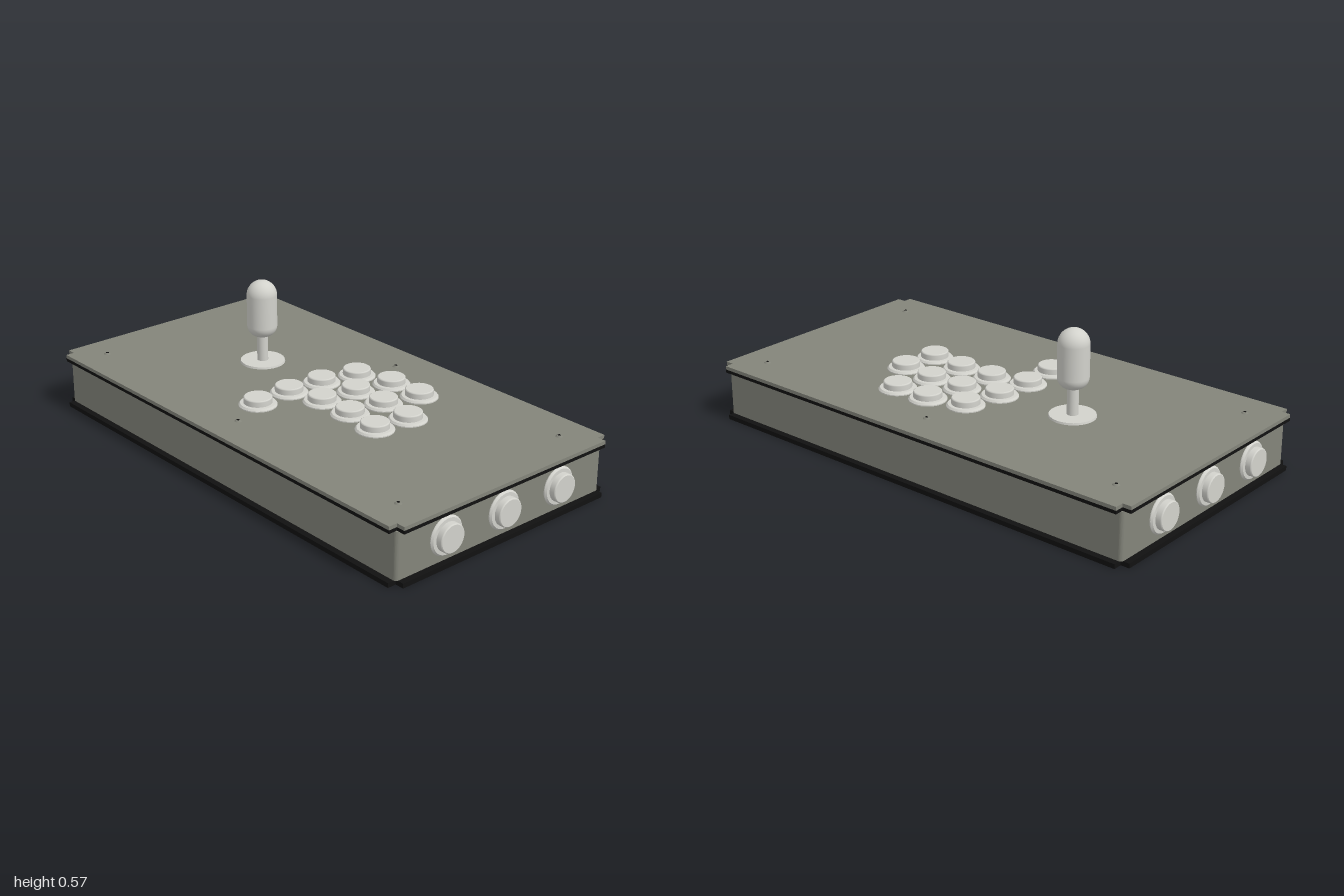
import * as THREE from 'three';

const panelGrey = new THREE.MeshStandardMaterial({ name: 'panelGrey', color: 0x83847a });
const buttonWhite = new THREE.MeshStandardMaterial({ name: 'buttonWhite', color: 0xd2d2cc });
const trimBlack = new THREE.MeshStandardMaterial({ name: 'trimBlack', color: 0x111111 });

const TOP = 0.227;

function mesh(name, geometry, material, x = 0, y = 0, z = 0) {
  const m = new THREE.Mesh(geometry, material);
  m.name = name;
  m.position.set(x, y, z);
  return m;
}

// Extrude a plan outline upwards from y0 to y1
function slab(name, shape, y0, y1, material) {
  const g = new THREE.ExtrudeGeometry(shape, { depth: y1 - y0, bevelEnabled: false, curveSegments: 5 });
  g.rotateX(-Math.PI / 2);
  return mesh(name, g, material, 0, y0, 0);
}

// Plate outline: rectangle with a small square notch at each corner
function plateShape() {
  const x = 0.99, z = 0.53, n = 0.035;
  return new THREE.Shape([
    [x - n, -z], [x - n, -z + n], [x, -z + n], [x, z - n], [x - n, z - n], [x - n, z],
    [n - x, z], [n - x, z - n], [-x, z - n], [-x, n - z], [n - x, n - z], [n - x, -z],
  ].map(([a, b]) => new THREE.Vector2(a, b)));
}

// Body outline: rectangle with tightly rounded corners
function bodyShape() {
  const x = 0.965, z = 0.505, r = 0.015;
  const s = new THREE.Shape();
  s.absarc(x - r, z - r, r, 0, Math.PI / 2);
  s.absarc(r - x, z - r, r, Math.PI / 2, Math.PI);
  s.absarc(r - x, r - z, r, Math.PI, Math.PI * 1.5);
  s.absarc(x - r, r - z, r, Math.PI * 1.5, Math.PI * 2);
  return s;
}

function lathe(points, segments = 32) {
  return new THREE.LatheGeometry(points.map(([r, y]) => new THREE.Vector2(r, y)), segments);
}

// Push button pointing along +y: thin bezel with a raised cap
const bezelGeometry = lathe([[0.074, 0], [0.074, 0.004], [0.074, 0.004], [0.068, 0.011], [0.068, 0.011], [0.05, 0.012]]);
const capGeometry = lathe([[0.055, 0.008], [0.055, 0.031], [0.054, 0.034], [0.051, 0.036], [0.051, 0.036], [0, 0.036]]);
function button(name) {
  const g = new THREE.Group();
  g.name = name;
  g.add(mesh('bezel', bezelGeometry, buttonWhite), mesh('cap', capGeometry, buttonWhite));
  return g;
}

// Joystick: dust washer, shaft and rounded bat handle
function joystick() {
  const g = new THREE.Group();
  g.name = 'joystick';
  g.add(mesh('dustWasher', new THREE.CylinderGeometry(0.088, 0.09, 0.008, 36), buttonWhite, 0, 0.004, 0));
  g.add(mesh('shaft', new THREE.CylinderGeometry(0.022, 0.022, 0.13, 24), buttonWhite, 0, 0.065, 0));
  const profile = [[0, 0], [0.022, 0]];
  const base = 0.11, rb = 0.045, rt = 0.06, height = 0.232;
  for (let i = 0; i <= 8; i++) {
    const a = (i / 8) * Math.PI / 2;
    profile.push([rt - rb + rb * Math.sin(a), rb - rb * Math.cos(a)]);
  }
  for (let i = 0; i <= 12; i++) {
    const a = (i / 12) * Math.PI / 2;
    profile.push([i === 12 ? 0 : rt * Math.cos(a), height - rt + rt * Math.sin(a)]);
  }
  g.add(mesh('batHandle', lathe(profile.slice(2), 32), buttonWhite, 0, base, 0));
  g.position.set(-0.39, TOP, -0.033);
  return g;
}

export function createModel() {
  const model = new THREE.Group();
  model.name = 'arcadeController';

  // Case
  model.add(slab('bottomPlate', plateShape(), 0, 0.018, trimBlack));
  model.add(slab('caseWalls', bodyShape(), 0.018, 0.2, panelGrey));
  model.add(slab('trimPlate', plateShape(), 0.2, 0.213, trimBlack));
  model.add(slab('topPanel', plateShape(), 0.213, TOP, panelGrey));

  model.add(joystick());

  // Playing buttons
  [
    [-0.03, -0.215], [0.12, -0.26], [0.275, -0.26],
    [-0.067, -0.065], [0.087, -0.105], [0.24, -0.107], [0.397, -0.085],
    [-0.077, 0.09], [0.07, 0.05], [0.225, 0.048], [0.383, 0.067],
    [-0.067, 0.25],
  ].forEach(([x, z]) => {
    const b = button('playButton');
    b.position.set(x, TOP, z);
    model.add(b);
  });

  // Side buttons, three on each end
  for (const side of [-1, 1]) {
    for (const z of [-0.278, 0, 0.278]) {
      const b = button('sideButton');
      b.position.set(side * 0.964, 0.11, z);
      b.rotation.z = -side * Math.PI / 2;
      model.add(b);
    }
  }

  // Panel screws with dark sockets
  const head = new THREE.CylinderGeometry(0.009, 0.014, 0.005, 16);
  const socket = new THREE.CylinderGeometry(0.006, 0.006, 0.002, 6);
  for (const x of [-0.857, 0, 0.857]) {
    for (const z of [-0.397, 0.397]) {
      model.add(mesh('screwHead', head, panelGrey, x, TOP + 0.0025, z));
      model.add(mesh('screwSocket', socket, trimBlack, x, TOP + 0.005, z));
    }
  }
  return model;
}
